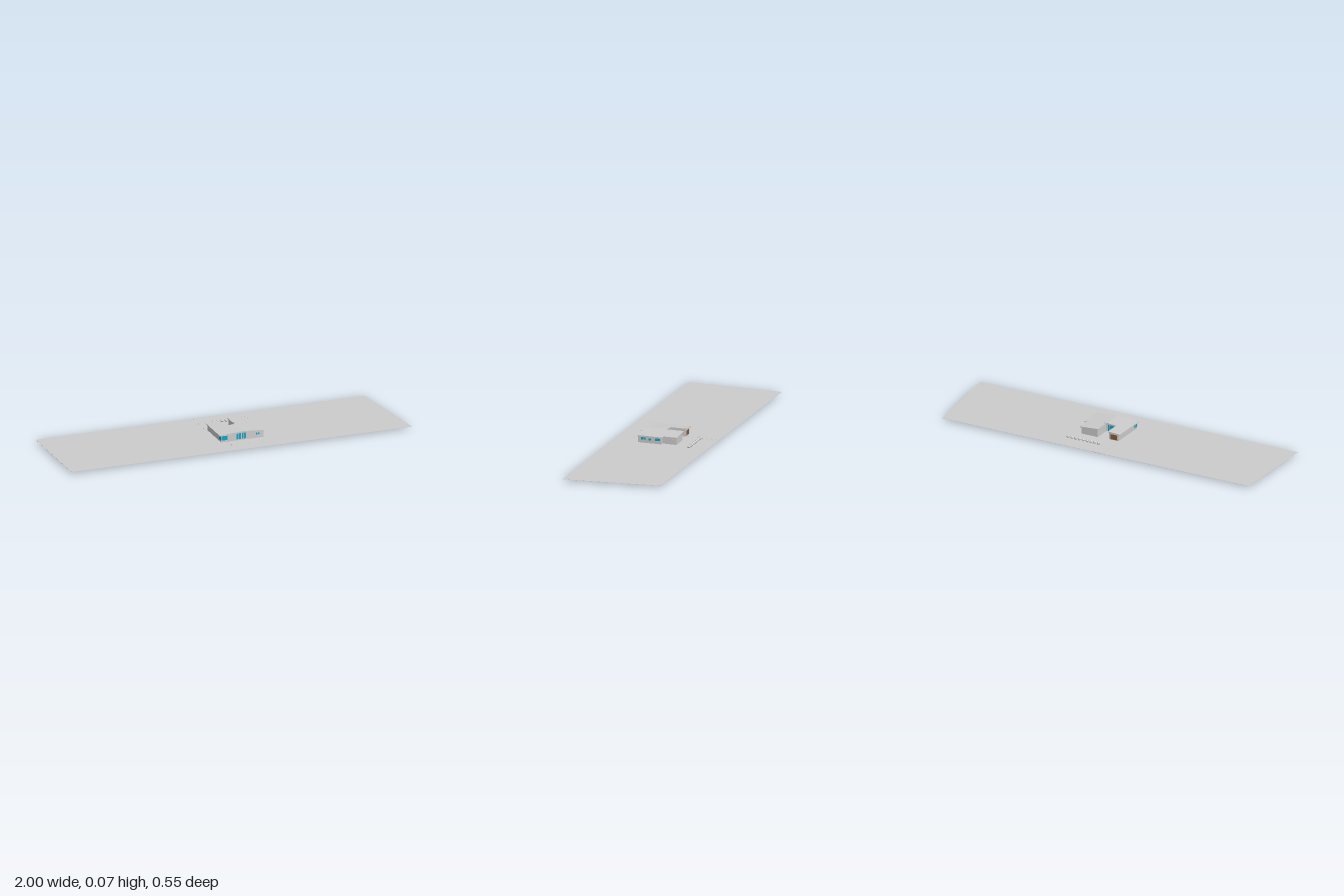
import * as THREE from 'three';

const grey = new THREE.MeshStandardMaterial({ color: 0xcccccc, flatShading: true, side: THREE.DoubleSide });
const glass = new THREE.MeshStandardMaterial({ color: 0x12a5c6 });
const wood = new THREE.MeshStandardMaterial({ color: 0x8a5a38 });
const GROUND = 0.011;
const RIDGE = 0.056;

// height of the roof underside: two slopes meeting at the ridge
const roofY = (x) => 0.0565 - (x < RIDGE ? (RIDGE - x) * 0.071 : (x - RIDGE) * 0.072);

function add(parent, name, geometry, material = grey) {
  const mesh = new THREE.Mesh(geometry, material);
  mesh.name = name;
  parent.add(mesh);
  return mesh;
}

function box(parent, name, w, h, d, x, y, z, material) {
  const mesh = add(parent, name, new THREE.BoxGeometry(w, h, d), material);
  mesh.position.set(x, y, z);
  return mesh;
}

// flat outline given as [x, z] points, raised to a slab of some thickness
function slab(points, thickness) {
  const shape = new THREE.Shape(points.map(([x, z]) => new THREE.Vector2(x, -z)));
  const geo = new THREE.ExtrudeGeometry(shape, { depth: thickness, bevelEnabled: false });
  return geo.rotateX(-Math.PI / 2);
}

// one half of the roof, sheared to follow its slope
function roofSlope(parent, name, points) {
  const geo = slab(points, 0.005);
  const p = geo.attributes.position;
  for (let i = 0; i < p.count; i++) p.setY(i, p.getY(i) + roofY(p.getX(i)));
  geo.computeVertexNormals();
  add(parent, name, geo);
}

// wall between two plan points, its top cut to the roof
function wall(parent, [ax, az], [bx, bz], bottom) {
  const len = Math.hypot(bx - ax, bz - az);
  const stops = [0, 1];
  if ((ax - RIDGE) * (bx - RIDGE) < 0) stops.splice(1, 0, (RIDGE - ax) / (bx - ax));
  const shape = new THREE.Shape();
  shape.moveTo(0, bottom);
  shape.lineTo(len, bottom);
  stops.reverse().forEach((t) => shape.lineTo(t * len, roofY(ax + (bx - ax) * t)));
  const geo = new THREE.ExtrudeGeometry(shape, { depth: 0.003, bevelEnabled: false });
  geo.translate(0, 0, -0.003);
  const mesh = add(parent, 'wall', geo);
  mesh.position.set(ax, 0, az);
  mesh.rotation.y = Math.atan2(az - bz, bx - ax);
}

// framed opening; turn 0 faces +z, panes are split by slim mullions
function opening(parent, name, x, y, z, w, h, turn, panes = 1, material = glass) {
  const g = new THREE.Group();
  g.name = name;
  g.position.set(x, y, z);
  g.rotation.y = turn;
  box(g, 'pane', w, h, 0.0012, 0, 0, 0, material);
  const t = 0.0012;
  for (const s of [-1, 1]) {
    box(g, 'frameSide', t, h + t, 0.002, s * w / 2, 0, 0);
    box(g, 'frameRail', w + t, t, 0.002, 0, s * h / 2, 0);
  }
  for (let i = 1; i < panes; i++) box(g, 'mullion', t, h, 0.002, -w / 2 + (w * i) / panes, 0, 0);
  parent.add(g);
}

export function createModel() {
  const model = new THREE.Group();
  model.name = 'houseOnPlot';

  // plot of land
  add(model, 'ground', slab([[-1, 0.27], [1, 0.272], [0.933, -0.275], [-1, -0.275]], 0.0006))
    .position.y = GROUND - 0.0006;

  // paving and a low kerb
  box(model, 'driveway', 0.07, 0.002, 0.197, -0.043, GROUND - 0.0006, -0.1765);
  box(model, 'frontPath', 0.113, 0.002, 0.067, 0.027, GROUND - 0.0006, 0.1615);
  box(model, 'kerb', 0.003, 0.003, 0.07, -0.028, GROUND, 0.164);
  box(model, 'hedgeBed', 0.205, 0.0016, 0.02, 0.102, GROUND - 0.0005, -0.172);

  const house = new THREE.Group();
  house.name = 'house';
  model.add(house);

  // outer walls round a courtyard open to the back
  const plan = [
    [-0.067, 0.129], [0.182, 0.129], [0.182, -0.005], [0.162, -0.005], [0.162, -0.086],
    [0.06, -0.086], [0.06, 0.014], [-0.008, 0.014], [-0.008, -0.078], [-0.067, -0.078],
  ];
  plan.forEach((a, i) => wall(house, a, plan[(i + 1) % plan.length], i > 2 && i < 6 ? 0.004 : 0));

  // roof
  roofSlope(house, 'roofRight', [
    [-0.077, 0.131], [RIDGE, 0.131], [RIDGE, 0.008], [-0.003, 0.008], [-0.003, -0.083], [-0.077, -0.083],
  ]);
  roofSlope(house, 'roofLeft', [
    [RIDGE, 0.131], [0.187, 0.131], [0.187, -0.013], [0.168, -0.013], [0.168, -0.091], [RIDGE, -0.091],
  ]);
  const vent = add(house, 'ventPipe', new THREE.CylinderGeometry(0.0022, 0.0022, 0.016, 10));
  vent.position.set(0.06, 0.06, -0.003);

  // front openings
  const F = 0.1293;
  const quarter = Math.PI / 2;
  opening(house, 'cornerWindow', -0.048, 0.034, F, 0.036, 0.026, 0, 2);
  opening(house, 'frontDoor', -0.017, 0.029, F, 0.02, 0.034, 0, 1, grey);
  for (let i = 0; i < 4; i++) {
    const x = 0.028 + i * 0.0155;
    const top = roofY(x) - 0.004;
    opening(house, 'tallWindow', x, (top + 0.017) / 2, F, 0.0115, top - 0.017, 0);
  }
  opening(house, 'smallWindow', 0.147, 0.036, F, 0.022, 0.012, 0, 2);

  // left side openings
  opening(house, 'sideWindow', 0.1823, 0.0355, 0.099, 0.028, 0.015, quarter, 2);
  opening(house, 'sideWindow', 0.1823, 0.033, 0.061, 0.014, 0.014, quarter);
  opening(house, 'sideWindow', 0.1823, 0.0355, 0.016, 0.028, 0.015, quarter, 2);
  opening(house, 'wingWindow', 0.1623, 0.034, -0.0725, 0.014, 0.014, quarter, 1, grey);

  // right side, garage and courtyard openings
  opening(house, 'cornerWindowReturn', -0.0673, 0.034, 0.112, 0.032, 0.026, -quarter, 2);
  opening(house, 'garageDoor', -0.0375, 0.0275, -0.0783, 0.044, 0.031, Math.PI, 1, wood);
  opening(house, 'courtyardGlazing', 0.026, 0.031, 0.0137, 0.054, 0.036, Math.PI, 4);

  // row of round bushes
  const bushes = new THREE.Group();
  bushes.name = 'bushes';
  model.add(bushes);
  for (let i = 0; i < 9; i++) {
    const bush = add(bushes, 'bush', new THREE.IcosahedronGeometry(0.0092, 1));
    bush.scale.y = 0.85;
    bush.position.set(0.006 + i * 0.0238, 0.0187, -0.172);
  }
  return model;
}
